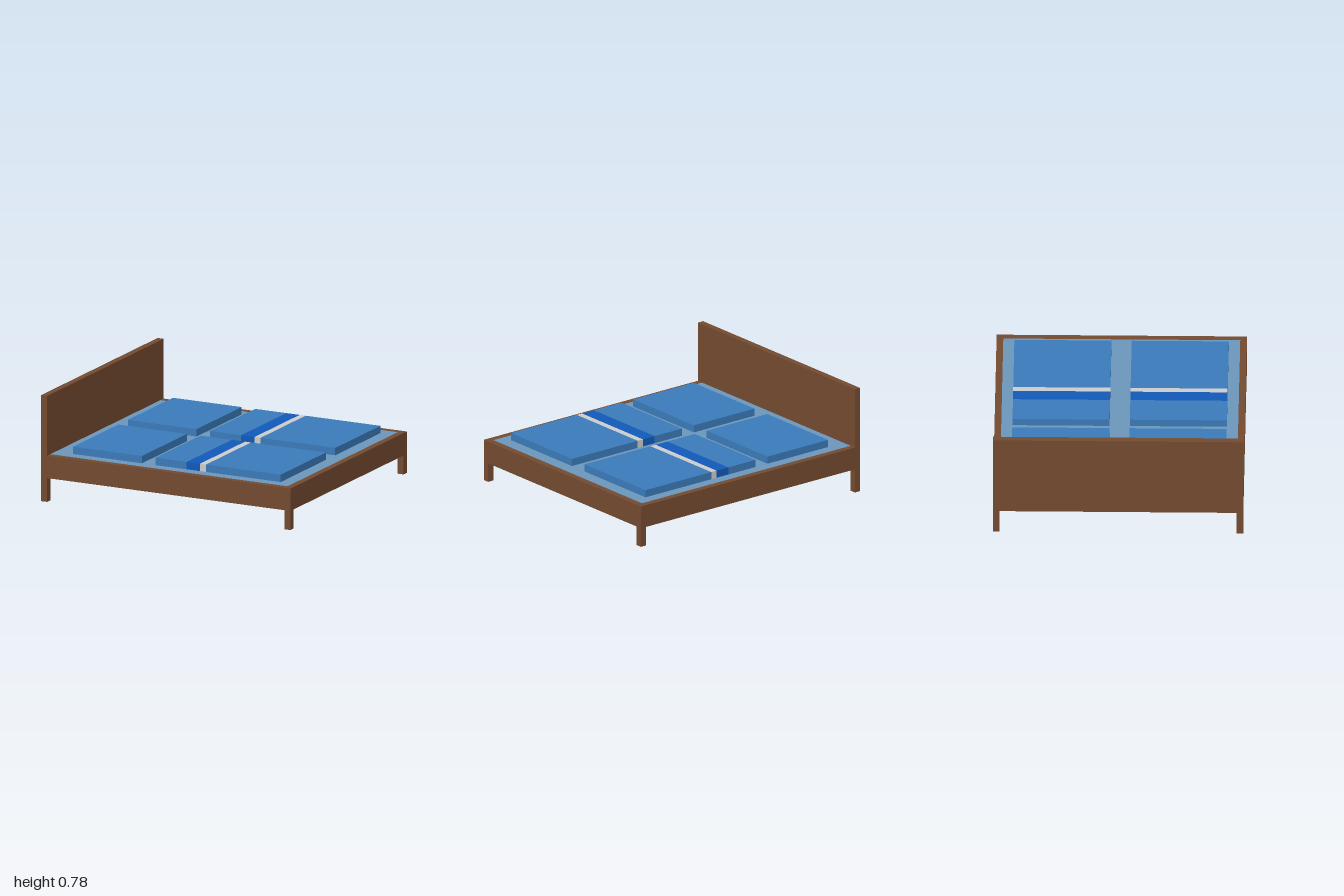
import * as THREE from 'three';

const material = (color) => new THREE.MeshStandardMaterial({ color });

export function createModel() {
  const bed = new THREE.Group();
  bed.name = 'doubleBed';

  const wood = material(0x734a30);
  const sheet = material(0x6b95ba);
  const blue = material(0x3a7ab8);
  const darkBlue = material(0x1159b8);
  const grey = material(0xcccccc);

  // Box given by its lower and upper limits on each axis
  function box(name, mat, [x0, x1], [y0, y1], [z0, z1], parent = bed) {
    const mesh = new THREE.Mesh(new THREE.BoxGeometry(x1 - x0, y1 - y0, z1 - z0), mat);
    mesh.position.set((x0 + x1) / 2, (y0 + y1) / 2, (z0 + z1) / 2);
    mesh.name = name;
    parent.add(mesh);
  }

  const W = 0.89, T = 0.048;          // half width, board thickness
  const head = -1 + T, foot = 1 - T;  // inner faces of the end boards
  const low = 0.175, top = 0.34;      // frame underside and rim
  const softTop = 0.394;

  // Frame
  box('headboard', wood, [-1, head], [low, 0.78], [-W, W]);
  box('footRail', wood, [foot, 1], [low, top], [-W, W]);
  box('basePanel', wood, [head, foot], [low, low + 0.03], [-W + T, W - T]);
  box('mattress', sheet, [head, foot], [low + 0.03, top], [-W + T, W - T]);

  for (const side of [-1, 1]) {
    const label = side > 0 ? 'front' : 'back';
    const span = (a, b) => (side > 0 ? [a, b] : [-b, -a]);
    const edge = span(W - T, W);

    // Side rail and its two legs; the foot legs are shorter
    box(label + 'SideRail', wood, [head, foot], [low, top], edge);
    box(label + 'HeadLeg', wood, [-1, head], [0, low], edge);
    box(label + 'FootLeg', wood, [foot, 1], [0.035, low], edge);

    // Pillow and striped blanket
    const across = span(0.072, 0.762), up = [top, softTop];
    box(label + 'Pillow', blue, [-0.81, -0.258], up, across);
    const blanket = new THREE.Group();
    blanket.name = label + 'Blanket';
    bed.add(blanket);
    box('upperBlanket', blue, [-0.15, 0.1], up, across, blanket);
    box('darkStripe', darkBlue, [0.1, 0.207], up, across, blanket);
    box('greyStripe', grey, [0.207, 0.255], up, across, blanket);
    box('lowerBlanket', blue, [0.255, 0.855], up, across, blanket);
  }
  return bed;
}
